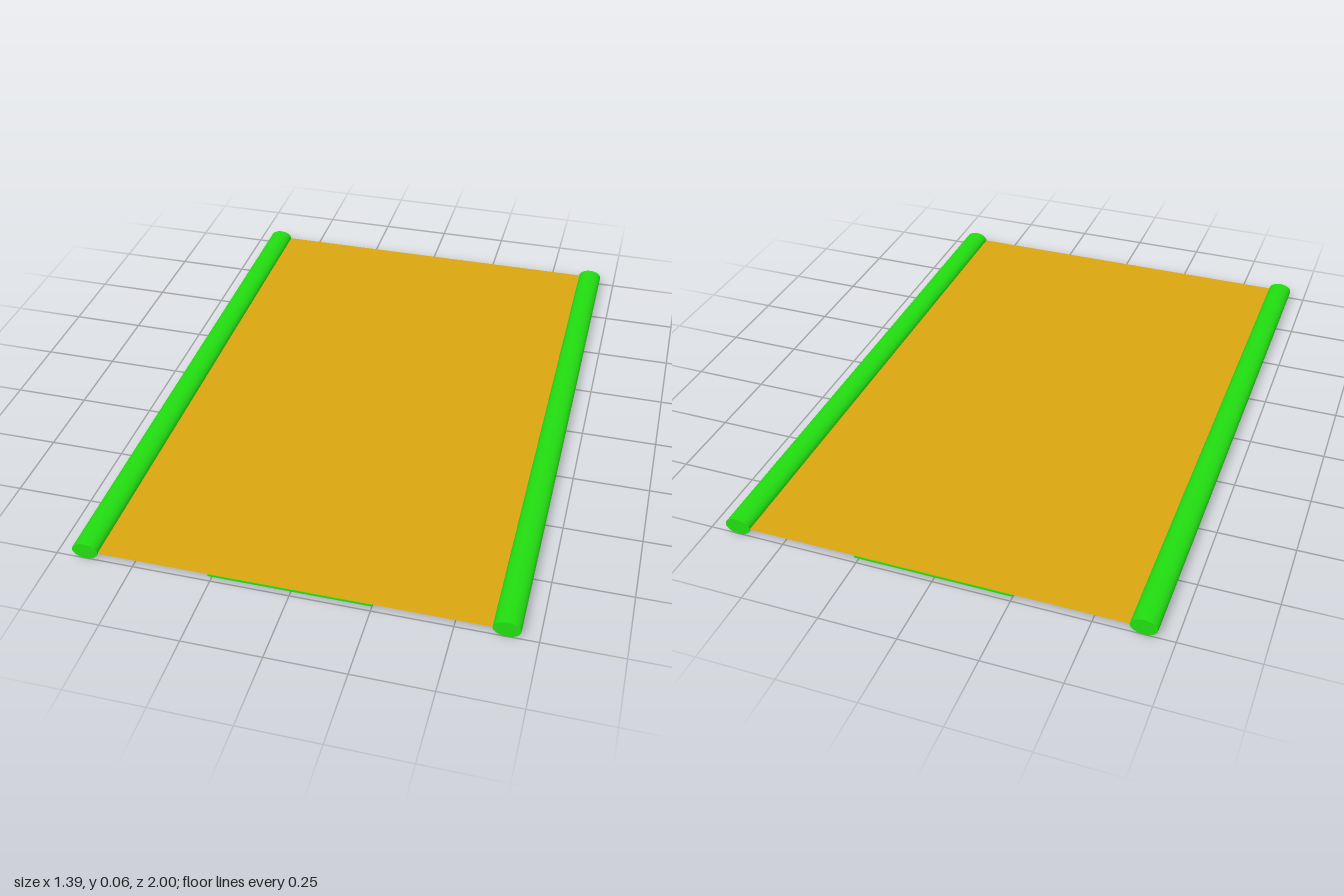
import * as THREE from 'three';

const LENGTH = 2;

export function createModel() {
  const group = new THREE.Group();
  const green = new THREE.MeshStandardMaterial({ color: 0x22dd11 });
  const gold = new THREE.MeshStandardMaterial({ color: 0xdaa60f, side: THREE.DoubleSide });

  const add = (name, geometry, material, x, y) => {
    const mesh = new THREE.Mesh(geometry, material);
    mesh.name = name;
    mesh.position.set(x, y, 0);
    group.add(mesh);
  };

  // Oval side rails running the full length
  const rail = new THREE.CylinderGeometry(1, 1, LENGTH, 32)
    .rotateX(Math.PI / 2)
    .scale(0.042, 0.028, 1);
  add('leftRail', rail, green, 0.654, 0.028);
  add('rightRail', rail, green, -0.654, 0.028);

  // Thin sheet stretched between the rails
  add('deck', new THREE.PlaneGeometry(1.3, LENGTH).rotateX(-Math.PI / 2), gold, 0, 0.028);

  // Flat strip under the middle of the sheet
  add('underStrip', new THREE.BoxGeometry(0.51, 0.006, LENGTH), green, 0, 0.0225);

  return group;
}
